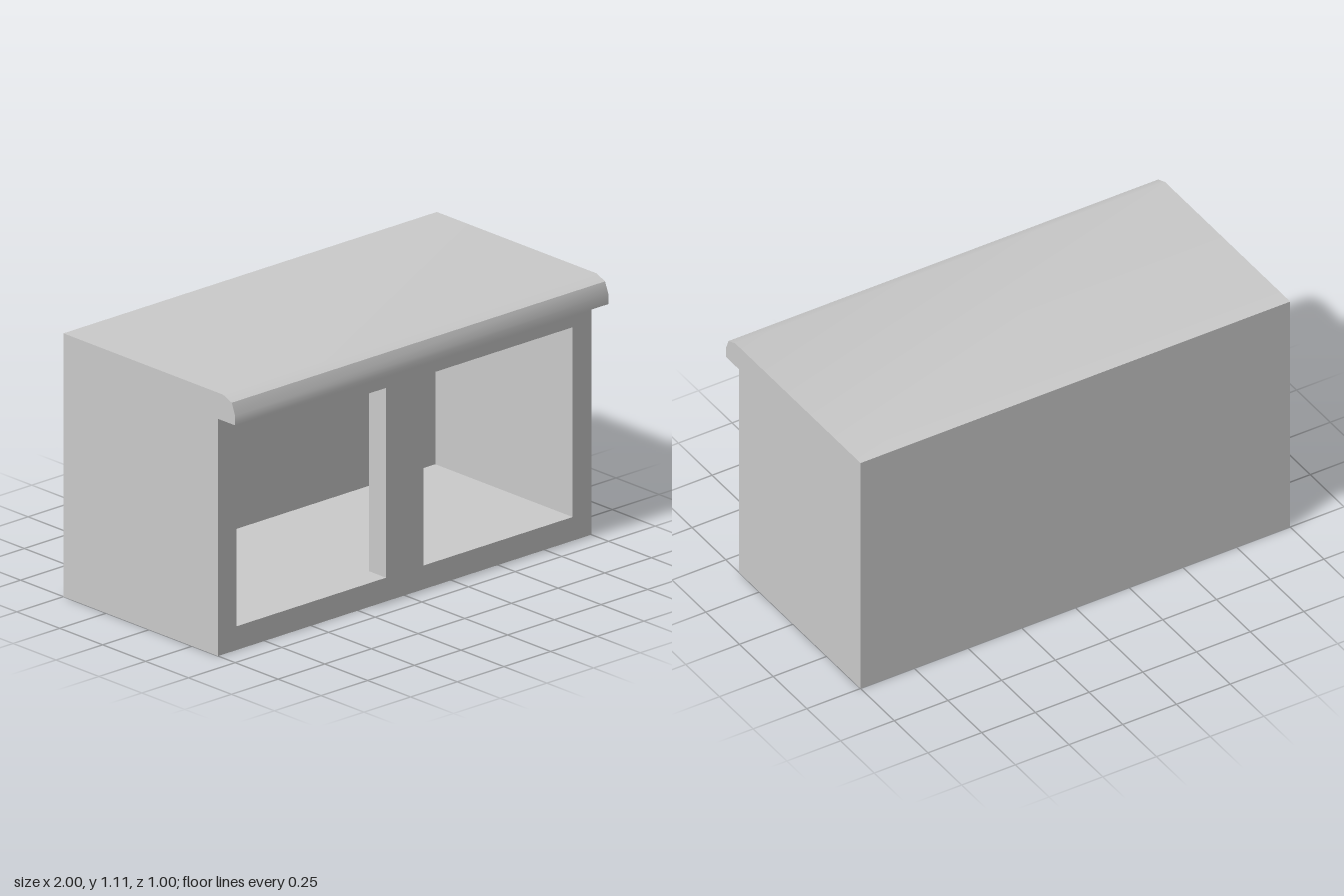
import * as THREE from 'three';
import { toCreasedNormals } from 'three/addons/utils/BufferGeometryUtils.js';

// Side profiles are lists of [z, y] points.
const OUTER = [
  [0.4, 1], [0.5, 1], [0.5, 1.04], [0.48, 1.09], [0.43, 1.11],
  [-0.5, 1.11], [-0.5, 0], [0.4, 0],
];
const CAVITY = [[0.4, 0.1], [-0.4, 0.1], [-0.4, 0.9], [0.4, 0.9]];

// Sweeps an open side profile along x, from -half to +half.
function sweep(profile, half) {
  const pos = [];
  for (let i = 0; i < profile.length - 1; i++) {
    const [za, ya] = profile[i];
    const [zb, yb] = profile[i + 1];
    const a = [-half, ya, za], b = [half, ya, za];
    const c = [half, yb, zb], d = [-half, yb, zb];
    pos.push(...a, ...b, ...c, ...a, ...c, ...d);
  }
  const geo = new THREE.BufferGeometry();
  geo.setAttribute('position', new THREE.Float32BufferAttribute(pos, 3));
  return toCreasedNormals(geo, Math.PI / 6);
}

// Flat side wall at x, facing +x (facing = 1) or -x (facing = -1).
function sideWall(profile, x, facing) {
  const shape = new THREE.Shape(profile.map(([z, y]) => new THREE.Vector2(-facing * z, y)));
  return new THREE.ShapeGeometry(shape).rotateY(facing * Math.PI / 2).translate(x, 0, 0);
}

function rect(path, x0, y0, x1, y1) {
  path.moveTo(x0, y0).lineTo(x1, y0).lineTo(x1, y1).lineTo(x0, y1).closePath();
  return path;
}

export function createModel() {
  const group = new THREE.Group();
  const material = new THREE.MeshStandardMaterial({ color: 0xcccccc });
  const add = (name, geometry) => {
    const mesh = new THREE.Mesh(geometry, material);
    mesh.name = name;
    group.add(mesh);
    return mesh;
  };

  // Worktop with rounded front lip, back and base
  add('worktopBackAndBase', sweep(OUTER, 1));

  // Single storage space behind both openings
  add('cavityFloorBackAndCeiling', sweep(CAVITY, 0.9));

  // Outer ends and the inner faces of the side walls
  for (const [side, s] of [['left', 1], ['right', -1]]) {
    add(side + 'End', sideWall(OUTER, s, s));
    add(side + 'InnerWall', sideWall(CAVITY, s * 0.9, -s));
  }

  // Front face with two openings
  const front = rect(new THREE.Shape(), -1, 0, 1, 1);
  for (const x of [-0.9, 0.1]) front.holes.push(rect(new THREE.Path(), x, 0.1, x + 0.8, 0.9));
  add('frontFrame', new THREE.ShapeGeometry(front).translate(0, 0, 0.4));

  // Shallow post between the openings
  add('centrePost', new THREE.BoxGeometry(0.2, 0.8, 0.1)).position.set(0, 0.5, 0.35);

  return group;
}
